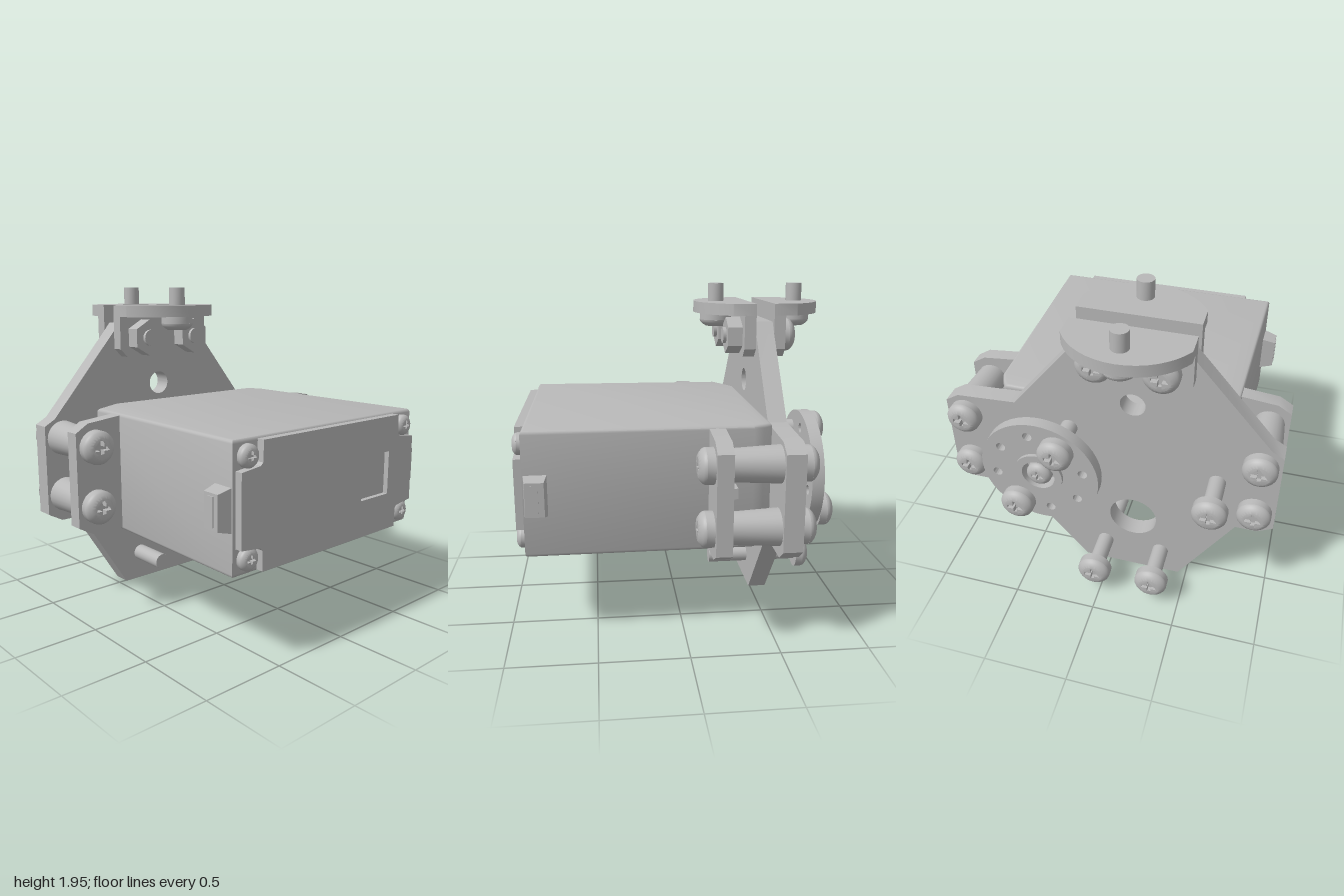
import * as THREE from 'three';
import { toCreasedNormals } from 'three/addons/utils/BufferGeometryUtils.js';

const CY = 0.865; // height of the motor axis

export function createModel() {
  const model = new THREE.Group();
  model.name = 'servoAssembly';
  const grey = new THREE.MeshStandardMaterial({ color: 0xb8b8b8 });
  grey.name = 'grey metal';

  const add = (name, geometry, parent = model) => {
    const mesh = new THREE.Mesh(toCreasedNormals(geometry, 0.6), grey);
    mesh.name = name;
    parent.add(mesh);
    return mesh;
  };
  const outline = (pts) => new THREE.Shape(pts.map(([a, b]) => new THREE.Vector2(a, b)));
  const circle = (a, b, r) => new THREE.Path().absarc(a, b, r, 0, Math.PI * 2, true);

  // Plate drawn in (z, y), filling x0..x1
  const plate = (name, shape, x0, x1, holes = []) => {
    shape.holes.push(...holes);
    const g = new THREE.ExtrudeGeometry(shape, { depth: x1 - x0, bevelEnabled: false, curveSegments: 24 });
    g.rotateY(-Math.PI / 2).translate(x1, 0, 0);
    return add(name, g);
  };
  // Slab drawn in (x, -z), filling y0..y1
  const slab = (name, shape, y0, y1, bevel = 0) => {
    const g = new THREE.ExtrudeGeometry(shape, {
      depth: y1 - y0 - 2 * bevel, bevelEnabled: bevel > 0, bevelThickness: bevel,
      bevelSize: bevel, bevelOffset: -bevel, bevelSegments: 3, curveSegments: 28,
    });
    g.rotateX(-Math.PI / 2).translate(0, y0 + bevel, 0);
    return add(name, g);
  };
  // Cylinder along x
  const rod = (name, x0, x1, y, z, r0, r1 = r0, sides = 24) => {
    const g = new THREE.CylinderGeometry(r1, r0, x1 - x0, sides);
    g.rotateZ(-Math.PI / 2).translate((x0 + x1) / 2, y, z);
    return add(name, g);
  };

  // Domed head with a cross recess; the seat is at z = 0 and the shank runs towards -z
  const headTop = (() => {
    const s = new THREE.Shape().absarc(0, 0, 0.1, 0, Math.PI * 2, false);
    const w = 0.012, l = 0.048;
    s.holes.push(new THREE.Path([[w, w], [w, l], [-w, l], [-w, w], [-l, w], [-l, -w], [-w, -w],
      [-w, -l], [w, -l], [w, -w], [l, -w], [l, w]].map(([a, b]) => new THREE.Vector2(a, b))));
    const g = new THREE.ExtrudeGeometry(s, { depth: 0.04, steps: 4, bevelEnabled: false, curveSegments: 24 });
    const p = g.attributes.position;
    for (let i = 0; i < p.count; i++) {
      if (Math.hypot(p.getX(i), p.getY(i)) < 0.08) continue;
      const t = p.getZ(i) / 0.04, k = 1 - 0.38 * t * t;
      p.setXY(i, p.getX(i) * k, p.getY(i) * k);
    }
    g.computeVertexNormals();
    return g.translate(0, 0, 0.045);
  })();
  const headBase = new THREE.CylinderGeometry(0.1, 0.1, 0.045, 24).rotateX(Math.PI / 2).translate(0, 0, 0.0225);
  const bolt = (name, x, y, z, dir, length, scale = 1) => {
    const group = new THREE.Group();
    group.name = name;
    add('headTop', headTop, group);
    add('headBase', headBase, group);
    if (length) {
      const shank = new THREE.CylinderGeometry(0.05, 0.05, length, 20);
      add('shank', shank.rotateX(Math.PI / 2).translate(0, 0, -length / 2), group);
    }
    group.quaternion.setFromUnitVectors(new THREE.Vector3(0, 0, 1), new THREE.Vector3(...dir));
    group.position.set(x, y, z);
    group.scale.setScalar(scale);
    model.add(group);
  };

  // Mounting plate
  plate('mountingPlate', outline([
    [0.45, 0], [-0.16, 0], [-0.6, 0.53], [-0.92, 0.53], [-1, 0.59], [-1, 1.13], [-0.92, 1.18],
    [-0.56, 1.2], [-0.19, 1.66], [-0.14, 1.73], [0.45, 1.73], [0.5, 1.67], [0.93, 1.17], [1, 1.13],
    [1, 0.58], [0.91, 0.53], [0.78, 0.53],
  ].reverse()), -0.6, -0.49, [circle(0.15, 1.33, 0.073), circle(0.15, 0.44, 0.147)]);

  // Motor case
  slab('motorCase', outline([
    [-0.49, -0.5], [-0.38, -0.7], [0.885, -0.73], [0.885, 0.735], [-0.38, 0.72], [-0.44, 0.695], [-0.49, 0.66],
  ]), 0.51, 1.223, 0.02);

  // End cap with notched corners and a square recess
  const corner = [];
  for (const [sz, sy] of [[1, 1], [-1, 1], [-1, -1], [1, -1]]) {
    const pts = [[0.71, 0.2], [0.58, 0.215], [0.565, 0.23], [0.56, 0.345]];
    if (sz * sy < 0) pts.reverse();
    corner.push(...pts.map(([z, y]) => [z * sz, CY + y * sy]));
  }
  const recess = new THREE.Path([[-0.48, 0.74], [-0.48, 1], [-0.23, 1], [-0.23, 0.74]]
    .map(([a, b]) => new THREE.Vector2(a, b)));
  plate('endCap', outline(corner), 0.88, 0.93, [recess]);
  plate('recessFloor', outline([[-0.49, 0.73], [-0.22, 0.73], [-0.22, 1.01], [-0.49, 1.01]]), 0.88, 0.9);

  for (const s of [1, -1]) {
    // Case screws
    for (const y of [0.6, 1.135]) bolt('caseScrew', 0.88, y, s * 0.64, [1, 0, 0], 0, 0.62);

    // Cable guide, narrowing outwards
    const guide = new THREE.BoxGeometry(0.13, 0.24, 0.09);
    const p = guide.attributes.position;
    for (let i = 0; i < p.count; i++) {
      if (p.getZ(i) * s > 0) p.setXY(i, p.getX(i) * 0.8, p.getY(i) * 0.8);
    }
    guide.computeVertexNormals();
    add('cableGuide', guide.translate(0.815, CY, s * 0.765));
    add('cableStub', new THREE.BoxGeometry(0.04, 0.16, 0.02).translate(0.815, CY, s * 0.805));

    // Case flange with its gusset
    const ear = [[0.68, 0.525], [0.91, 0.53], [1, 0.58], [1, 1.14], [0.92, 1.19], [0.68, 1.215]];
    plate('caseFlange', outline((s > 0 ? ear : ear.reverse()).map(([z, y]) => [z * s, y])), -0.22, -0.13);
    add('flangeGusset', new THREE.BoxGeometry(0.06, 0.06, 0.1).translate(-0.25, CY, s * 0.76));

    // Spacers and bolts joining the flange to the plate
    for (const y of [0.695, 1.05]) {
      rod('spacer', -0.49, -0.22, y, s * 0.88, 0.105, 0.09);
      bolt('flangeBolt', -0.13, y, s * 0.88, [1, 0, 0], 0.1);
      bolt('plateBolt', -0.6, y, s * 0.88, [-1, 0, 0], 0.1);
    }
  }

  // Horn disc on the output shaft
  const hz = -0.36;
  const hornHoles = [circle(hz, CY, 0.1)];
  for (let i = 0; i < 8; i++) {
    const a = (i + 0.25) * Math.PI / 4;
    hornHoles.push(circle(hz + 0.27 * Math.cos(a), CY + 0.27 * Math.sin(a), 0.028));
  }
  plate('hornDisc', new THREE.Shape().absarc(hz, CY, 0.357, 0, Math.PI * 2, false), -0.79, -0.72, hornHoles);
  plate('hornCollar', new THREE.Shape().absarc(hz, CY, 0.145, 0, Math.PI * 2, false), -0.81, -0.79,
    [circle(hz, CY, 0.1)]);
  rod('hornHub', -0.72, -0.6, CY, hz, 0.16);
  bolt('hornCentreScrew', -0.76, CY, hz, [-1, 0, 0], 0.1, 0.75);
  bolt('hornScrew', -0.815, 1.09, -0.23, [-1, 0, 0], 0.22);
  bolt('hornScrew', -0.815, 0.65, -0.49, [-1, 0, 0], 0.22);

  // Long bolt with a nut beside the case
  bolt('sideBolt', -0.815, 0.87, 0.65, [-1, 0, 0], 0.48);
  rod('sideNut', -0.49, -0.39, 0.87, 0.65, 0.1, 0.1, 6);

  // Pair at the bottom of the plate
  for (const z of [0.33, -0.03]) bolt('lowerBolt', -0.815, 0.18, z, [-1, 0, 0], 0.575);

  // Two angle brackets, each with a half-round shelf
  for (const s of [1, -1]) {
    const mid = -0.545, arc = [];
    const edge = (z) => mid + s * Math.sqrt(0.39 ** 2 - z * z);
    arc.push([mid + s * 0.055, 0.34]);
    for (let i = 0; i <= 20; i++) {
      const z = 0.34 * Math.cos(i / 20 * Math.PI);
      arc.push([edge(z), z]);
    }
    arc.push([mid + s * 0.055, -0.34]);
    slab('bracketShelf', outline(arc.map(([x, v]) => [x, v - 0.15])), 1.77, 1.84);
    const x0 = s > 0 ? -0.49 : -0.67;
    plate('bracketLeg', outline([[-0.19, 1.78], [-0.19, 1.57], [-0.14, 1.52], [0.44, 1.52], [0.49, 1.57],
      [0.49, 1.78]]), x0, x0 + 0.07);
    bolt('shelfBolt', mid + s * 0.252, 1.77, 0.14, [0, -1, 0], 0.18);
  }

  // Bolts and nuts clamping the brackets to the plate
  for (const z of [0.33, -0.03]) {
    bolt('bracketBolt', -0.67, 1.64, z, [-1, 0, 0], 0.36);
    const nut = new THREE.CylinderGeometry(0.112, 0.112, 0.09, 6).rotateZ(-Math.PI / 2).rotateX(Math.PI / 2);
    add('bracketNut', nut.translate(-0.375, 1.64, z));
  }
  return model;
}
